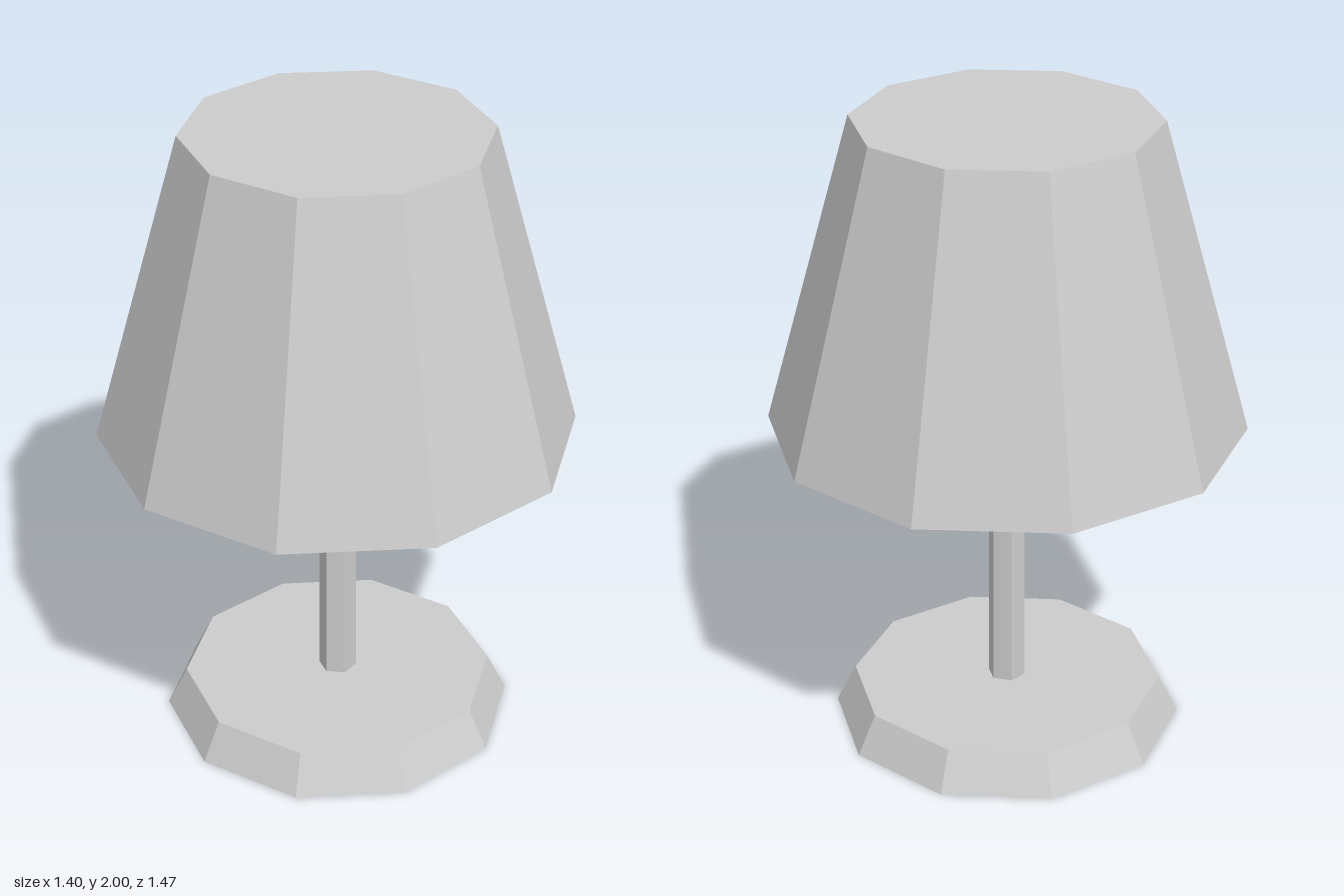
import * as THREE from 'three';

export function createModel() {
  const lamp = new THREE.Group();
  lamp.name = 'tableLamp';

  const grey = new THREE.MeshStandardMaterial({ color: 0xcccccc, flatShading: true });
  grey.name = 'light grey';

  // Closed tapered prism standing between two heights, with a corner facing +z
  function taperedPrism(name, topRadius, bottomRadius, y0, y1, sides) {
    const geometry = new THREE.CylinderGeometry(topRadius, bottomRadius, y1 - y0, sides);
    const mesh = new THREE.Mesh(geometry, grey);
    mesh.name = name;
    mesh.position.y = (y0 + y1) / 2;
    lamp.add(mesh);
  }

  taperedPrism('base', 0.49, 0.552, 0, 0.125, 10);
  taperedPrism('pole', 0.056, 0.06, 0.125, 1.02, 6);
  taperedPrism('shade', 0.463, 0.737, 1.02, 2, 10);

  return lamp;
}
